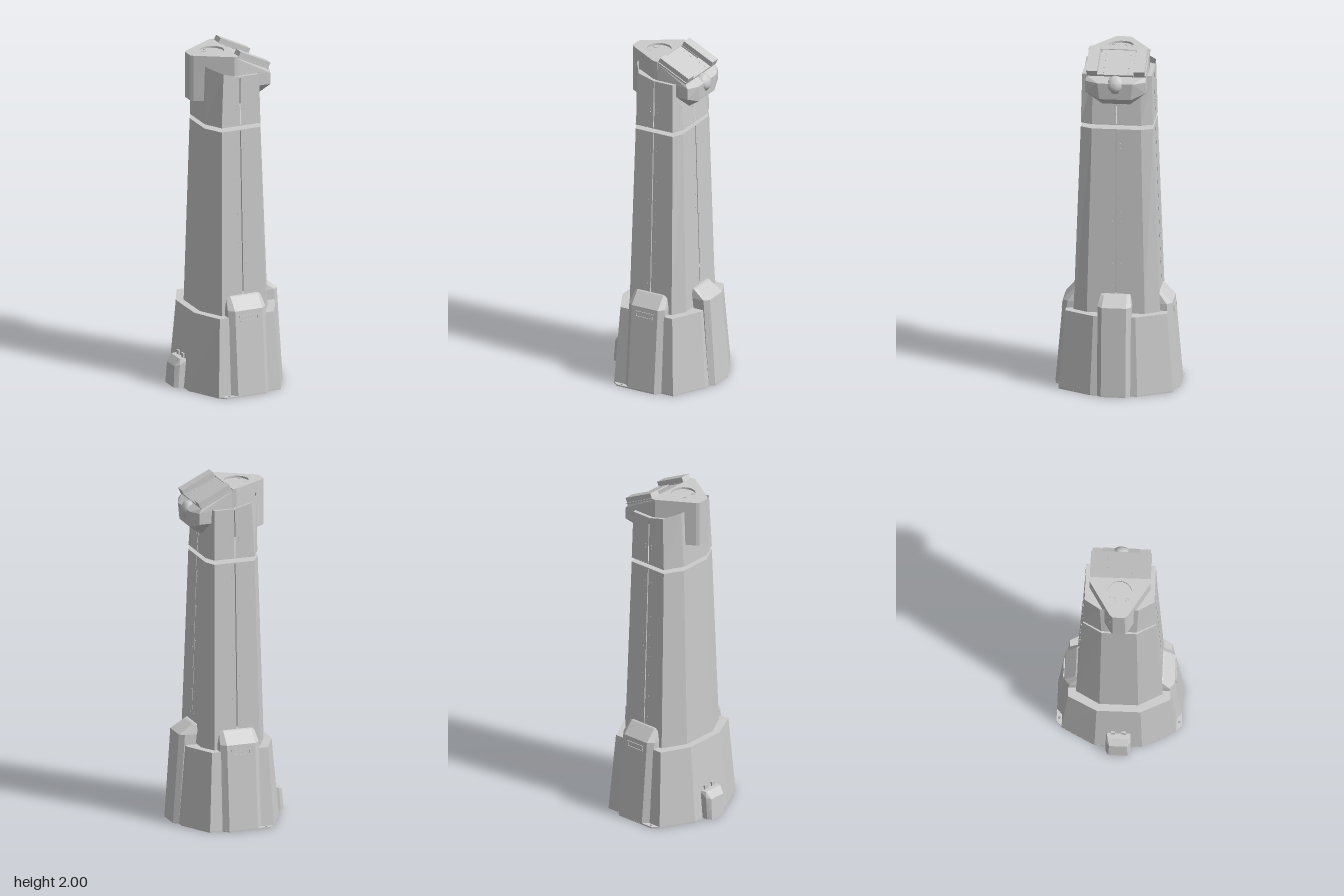
import * as THREE from 'three';
import { ConvexGeometry } from 'three/addons/geometries/ConvexGeometry.js';

const mat = new THREE.MeshStandardMaterial({ color: 0xcccccc, flatShading: true, side: THREE.DoubleSide });
const smooth = new THREE.MeshStandardMaterial({ color: 0xcccccc, side: THREE.DoubleSide });

function add(parent, name, geometry, material = mat) {
  const mesh = new THREE.Mesh(geometry, material);
  mesh.name = name;
  parent.add(mesh);
  return mesh;
}

// Flat-faced skin through sections of equal point count, counterclockwise from above
function loft(sections, closed = true, cap = false) {
  const pos = [];
  const tri = (...pts) => pts.forEach((p) => pos.push(...p));
  for (let s = 0; s < sections.length - 1; s++) {
    const lo = sections[s], hi = sections[s + 1], n = lo.length;
    for (let i = 0; i < (closed ? n : n - 1); i++) {
      const j = (i + 1) % n;
      tri(lo[i], lo[j], hi[j], lo[i], hi[j], hi[i]);
    }
  }
  if (cap) {
    const top = sections[sections.length - 1];
    for (let i = 1; i < top.length - 1; i++) tri(top[0], top[i], top[i + 1]);
  }
  const g = new THREE.BufferGeometry();
  g.setAttribute('position', new THREE.Float32BufferAttribute(pos, 3));
  g.computeVertexNormals();
  return g;
}

// Horizontal plate with its top at y; holes are [x, z, radius]
function plate(points, y, depth, holes = []) {
  const shape = new THREE.Shape(points.map(([x, z]) => new THREE.Vector2(x, z)));
  for (const [x, z, r] of holes) shape.holes.push(new THREE.Path().absarc(x, z, r, 0, Math.PI * 2, true));
  return new THREE.ExtrudeGeometry(shape, { depth, bevelEnabled: false, curveSegments: 20 })
    .rotateX(Math.PI / 2).translate(0, y, 0);
}

// Eight-sided outline: back x, back half-width, side x range, side z, front x, front half-width
const outline = ([xb, zb, xl, xr, zs, xf, zf]) => [
  [xf, zf], [xf, -zf], [xr, -zs], [xl, -zs], [xb, -zb], [xb, zb], [xl, zs], [xr, zs],
];
const level = (pts, y) => pts.map(([x, z]) => [x, typeof y === 'function' ? y(x) : y, z]);
const mirrored = (half) => [...half, ...half.map(([x, z]) => [x, -z]).reverse()];
const hull = (pts) => new ConvexGeometry(
  pts.flatMap(([x, y, z]) => [new THREE.Vector3(x, y, z), new THREE.Vector3(x, y, -z)]));

// Three wall panels with narrow seams at the front and both sides
function panels(parent, name, low, y0, high, y1) {
  const sx = 0.01, g = 0.003;
  const split = ([xb, zb, xl, xr, zs, xf, zf]) => [
    [[xf, -g], [xf, -zf], [xr, -zs], [sx + g, -zs]],
    [[sx - g, -zs], [xl, -zs], [xb, -zb], [xb, zb], [xl, zs], [sx - g, zs]],
    [[sx + g, zs], [xr, zs], [xf, zf], [xf, g]],
  ];
  const top = split(high);
  split(low).forEach((p, i) => add(parent, name, loft([level(p, y0), level(top[i], y1)], false)));
}

// Buttress facing +x: rows of [y, inner d, chamfer d, outer d, half-width, outer half-width]
function buttress(rows) {
  return loft(rows.map(([y, a, b, c, w, v]) => level([[a, w], [b, w], [c, v], [c, -v], [b, -w], [a, -w]], y)), true, true);
}

export function createModel() {
  const model = new THREE.Group();

  // Base plate with anchor tabs and cable openings
  const foot = mirrored([[-0.28, 0.135], [-0.18, 0.325], [-0.145, 0.355], [0.1, 0.355], [0.13, 0.325],
    [0.205, 0.325], [0.307, 0.135], [0.307, 0.095], [0.335, 0.07]]);
  add(model, 'basePlate', plate(foot, 0.008, 0.008,
    [[0.015, 0, 0.04], [0.19, 0.01, 0.042], [-0.125, 0.34, 0.008], [-0.125, -0.34, 0.008]]));

  // Skirt, closed inwards onto the tower
  const towerLow = [-0.198, 0.11, -0.125, 0.15, 0.245, 0.198, 0.165];
  const towerHigh = [-0.165, 0.1, -0.107, 0.135, 0.206, 0.165, 0.14];
  add(model, 'skirt', loft([
    level(outline([-0.28, 0.135, -0.18, 0.205, 0.325, 0.307, 0.135]), 0.006),
    level(outline([-0.24, 0.125, -0.158, 0.18, 0.29, 0.27, 0.12]), 0.46),
    level(outline(towerLow), 0.46),
  ]));

  // Side and front buttresses
  for (const s of [1, -1]) {
    const rib = add(model, 'sideButtress', buttress([
      [0.006, 0.28, 0.325, 0.355, 0.117, 0.085], [0.5, 0.24, 0.283, 0.312, 0.117, 0.085],
      [0.568, 0.2, 0.232, 0.25, 0.105, 0.085], [0.574, 0.2, 0.225, 0.238, 0.1, 0.08]]));
    rib.rotation.y = -s * Math.PI / 2;
    rib.position.x = 0.0125;

    // Grab handle frame on the sloping face
    const frame = new THREE.Shape([[-0.058, -0.018], [0.058, -0.018], [0.058, 0.018], [-0.058, 0.018]]
      .map((p) => new THREE.Vector2(...p)));
    frame.holes.push(new THREE.Path([[-0.05, -0.011], [-0.05, 0.011], [0.05, 0.011], [0.05, -0.011]]
      .map((p) => new THREE.Vector2(...p))));
    const handle = add(model, 'handleFrame', new THREE.ExtrudeGeometry(frame, { depth: 0.006, bevelEnabled: false }));
    handle.position.set(0.0125, 0.455, s * 0.315);
    handle.rotation.set(-0.087, s > 0 ? 0 : Math.PI, 0);
    if (s < 0) handle.rotation.x = 0.087;
  }
  add(model, 'frontButtress', buttress([
    [0.006, 0.26, 0.307, 0.335, 0.095, 0.07], [0.52, 0.2, 0.272, 0.3, 0.095, 0.07],
    [0.57, 0.18, 0.205, 0.22, 0.085, 0.065], [0.575, 0.18, 0.2, 0.208, 0.08, 0.06]]));

  // Connection box at the back of the skirt
  add(model, 'rearBox', hull([[-0.338, 0.005, 0.055], [-0.33, 0.13, 0.05], [-0.298, 0.17, 0.06],
    [-0.245, 0.17, 0.07], [-0.245, 0.005, 0.07], [-0.315, 0.005, 0.07], [-0.305, 0.14, 0.07]]));
  for (const z of [-0.03, 0.03])
    add(model, 'rearBoxHinge', new THREE.BoxGeometry(0.012, 0.03, 0.025)).position.set(-0.267, 0.18, z);

  // Tower shaft and upper section, separated by a narrow gap
  panels(model, 'towerPanel', towerLow, 0.46, towerHigh, 1.545);
  add(model, 'towerLid', plate(outline(towerHigh), 1.545, 0.006, [[0.015, 0, 0.04]]));
  const upperLow = [-0.163, 0.1, -0.107, 0.135, 0.206, 0.164, 0.14];
  const upperHigh = [-0.155, 0.11, -0.092, 0.13, 0.198, 0.145, 0.135];
  panels(model, 'upperPanel', upperLow, 1.57, upperHigh, (x) => 1.86 + Math.max(0, -0.02 - x) * 0.37);
  add(model, 'upperFloor', plate(outline(upperLow), 1.576, 0.006, [[0.015, 0, 0.04]]));
  add(model, 'upperLid', plate(outline(upperHigh), 1.857, 0.006, [[0.015, 0, 0.04]]));

  // Screws beside the seams on both sides and the front
  for (const y of [0.62, 0.75, 0.88, 1, 1.05, 1.13, 1.25, 1.43, 1.46, 1.67, 1.69]) {
    const k = Math.min(1, (y - 0.46) / 1.085);
    const z = 0.245 - 0.039 * k, x = 0.198 - 0.033 * k;
    for (const d of [-0.022, 0.022]) for (const s of [-1, 1]) {
      add(model, 'sideScrew', new THREE.CylinderGeometry(0.004, 0.004, 0.004, 8).rotateX(Math.PI / 2)
        .translate(0.01 + d, y, s * z));
      if (s > 0) add(model, 'frontScrew', new THREE.CylinderGeometry(0.004, 0.004, 0.004, 8).rotateZ(Math.PI / 2)
        .translate(x - (y > 1.6 ? 0.008 : 0), y, d));
    }
  }

  // Head: tapered housing that overhangs the back of the tower
  const head = new THREE.Group();
  head.name = 'head';
  model.add(head);
  const wedge = mirrored([[-0.212, 0.05], [-0.01, 0.174], [0.015, 0.174]]);
  wedge.push([-0.225, -0.035], [-0.225, 0.035]);
  add(head, 'headTop', plate(wedge, 1.972, 0.012, [[-0.073, 0, 0.07]]));
  add(head, 'headHousing', plate(wedge.map(([x, z]) => [x, z * 0.99]), 1.96, 0.1));
  const rear = mirrored([[-0.212, 0.05], [-0.14, 0.093]]);
  rear.push([-0.225, -0.035], [-0.225, 0.035]);
  add(head, 'headRearPanel', plate(rear, 1.87, 0.168));
  for (const [x, z, r] of [[-0.115, -0.04, 0.02], [-0.112, 0.043, 0.01]])
    add(head, 'portRing', new THREE.TorusGeometry(r, 0.002, 6, 20).rotateX(Math.PI / 2).translate(x, 1.961, z), smooth);

  // Faceted front nose
  add(head, 'nose', hull([[0, 1.962, 0.165], [0.195, 1.872, 0.165], [0.213, 1.845, 0.172], [0.213, 1.78, 0.172],
    [0.243, 1.84, 0.1], [0.237, 1.745, 0.09], [0.17, 1.698, 0.08], [0.14, 1.78, 0.172], [0, 1.86, 0.172]]));

  // Sloping cover with its two raised side boxes
  const cover = new THREE.Group();
  cover.name = 'slopingCover';
  cover.position.set(0.012, 1.965, 0);
  cover.rotation.z = -0.453;
  head.add(cover);
  add(cover, 'coverSheet', new THREE.BoxGeometry(0.21, 0.008, 0.19)).position.set(0.103, 0, 0);
  add(cover, 'coverPlate', new THREE.BoxGeometry(0.085, 0.012, 0.2)).position.set(0.168, 0.003, 0);
  for (const s of [-1, 1]) {
    add(cover, 'sideBox', new THREE.BoxGeometry(0.207, 0.036, 0.062)).position.set(0.107, 0.018, s * 0.135);
    add(cover, 'sideBoxRim', new THREE.BoxGeometry(0.207, 0.01, 0.072)).position.set(0.107, 0.002, s * 0.137);
    for (const x of [0.04, 0.085, 0.15, 0.19])
      add(cover, 'coverScrew', new THREE.CylinderGeometry(0.004, 0.004, 0.005, 8)).position.set(x, x > 0.1 ? 0.01 : 0.005, s * 0.07);
  }

  // Domed lens with its collar
  const lens = add(head, 'lens', new THREE.LatheGeometry([[0.052, -0.05], [0.052, 0], [0.046, 0.004], [0.045, 0.012],
    [0.036, 0.024], [0.02, 0.031], [0, 0.034]].map((p) => new THREE.Vector2(...p)), 32), smooth);
  lens.position.set(0.222, 1.829, 0);
  lens.rotation.z = -1.2;

  return model;
}
